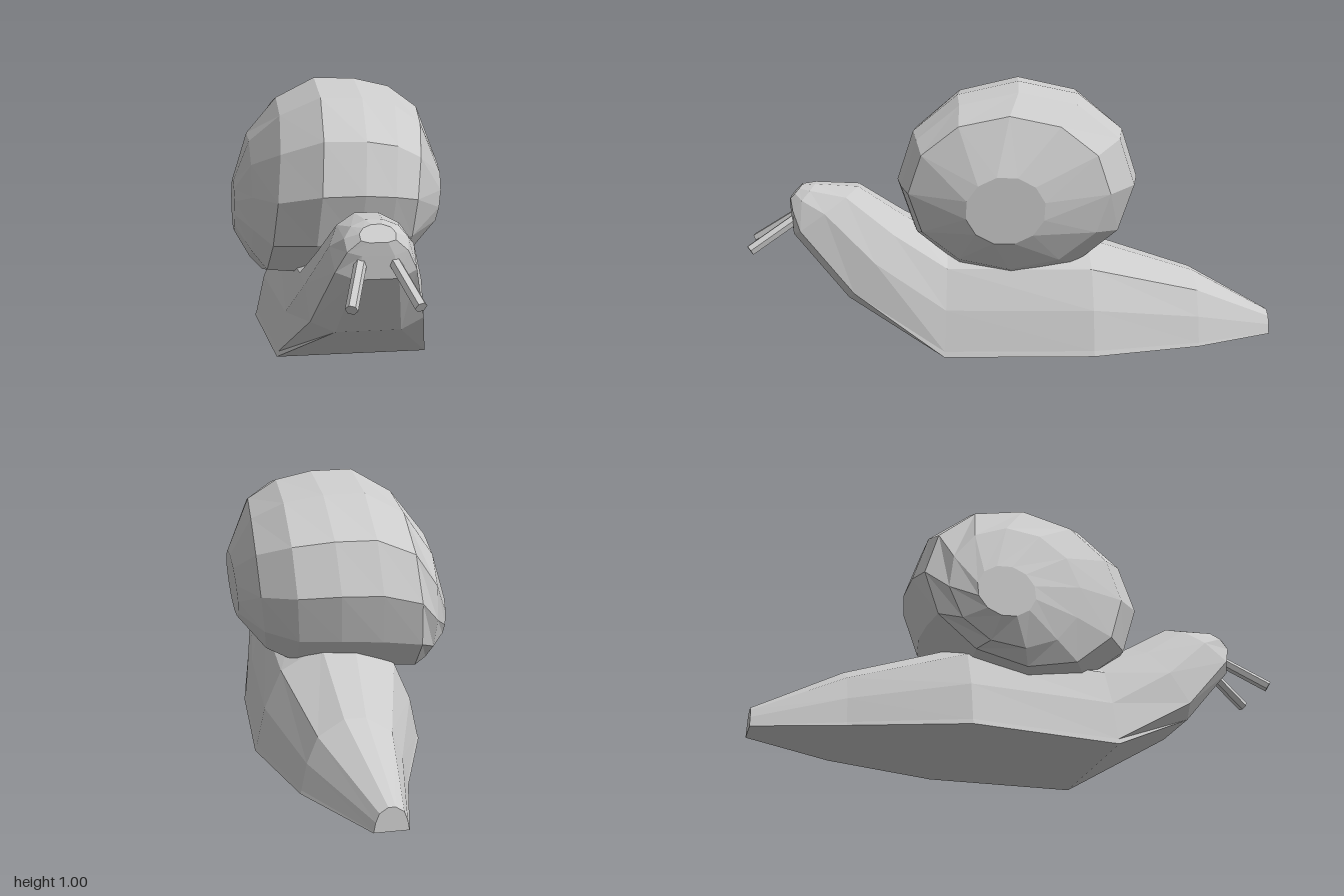
import * as THREE from 'three';

const material = new THREE.MeshStandardMaterial({ color: 0xcccccc, flatShading: true });

// Skin a list of equal-length point loops and close both ends with a fan.
function loft(name, rings) {
  const pos = [];
  const tri = (...pts) => pts.forEach((p) => pos.push(p.x, p.y, p.z));
  const n = rings[0].length;
  for (let i = 0; i < rings.length - 1; i++) {
    for (let j = 0; j < n; j++) {
      const k = (j + 1) % n;
      const a = rings[i][j], b = rings[i][k], c = rings[i + 1][k], d = rings[i + 1][j];
      tri(a, b, c);
      tri(a, c, d);
    }
  }
  const cap = (ring, flip) => {
    const mid = ring.reduce((s, p) => s.add(p), new THREE.Vector3()).divideScalar(n);
    ring.forEach((p, j) => {
      const q = ring[(j + 1) % n];
      flip ? tri(mid, q, p) : tri(mid, p, q);
    });
  };
  cap(rings[0], true);
  cap(rings[rings.length - 1], false);
  const geo = new THREE.BufferGeometry();
  geo.setAttribute('position', new THREE.Float32BufferAttribute(pos, 3));
  geo.computeVertexNormals();
  const mesh = new THREE.Mesh(geo, material);
  mesh.name = name;
  return mesh;
}

// Half cross-sections (across, up) for the flat foot and the rounder head.
const FOOT = [[1, 0], [0.98, 0.05], [0.88, 0.42], [0.68, 0.78], [0.2, 1]];
const HEAD = [[0.5, 0], [0.95, 0.12], [1, 0.5], [0.75, 0.82], [0.28, 1]];

// Body ring between a bottom and a top point, so rings may lean.
function bodyRing([cx, half, zb, yb, zt, yt, round]) {
  const right = FOOT.map(([u, v], i) => [
    THREE.MathUtils.lerp(u, HEAD[i][0], round),
    THREE.MathUtils.lerp(v, HEAD[i][1], round),
  ]);
  const left = right.map(([u, v]) => [-u, v]).reverse();
  return [...right, ...left].map(([u, v]) => new THREE.Vector3(
    cx + u * half,
    THREE.MathUtils.lerp(yb, yt, v),
    THREE.MathUtils.lerp(zb, zt, v),
  ));
}

function makeBody() {
  // centre x, half width, bottom z, bottom y, top z, top y, roundness
  return loft('body', [
    [0.0, 0.06, -1.0, 0.0, -1.0, 0.085, 0],
    [0.05, 0.19, -0.68, 0.01, -0.68, 0.27, 0],
    [0.024, 0.312, -0.27, 0.01, -0.27, 0.4, 0],
    [0.024, 0.277, 0.28, 0.01, 0.26, 0.41, 0],
    [0.028, 0.207, 0.63, 0.205, 0.42, 0.5, 0.9],
    [0.024, 0.142, 0.83, 0.44, 0.59, 0.61, 1],
    [0.024, 0.105, 0.84, 0.52, 0.75, 0.62, 1],
    [0.024, 0.06, 0.845, 0.565, 0.8, 0.615, 1],
  ].map(bodyRing));
}

function makeShell() {
  // x, lean of x along y, lean of x along z, centre y, centre z,
  // radius y, radius z, twist (the coil on each flank)
  const stations = [
    [-0.377, 0.0, 0.0, 0.49, -0.18, 0.1, 0.11, -0.35],
    [-0.322, 0.0, 0.0, 0.54, -0.13, 0.24, 0.25, -0.15],
    [-0.245, 0.03, 0.0, 0.59, -0.07, 0.335, 0.38, 0],
    [-0.1, 0.025, 0.0, 0.63, -0.02, 0.374, 0.445, 0],
    [0.05, 0.025, 0.0, 0.635, -0.01, 0.365, 0.453, 0],
    [0.18, 0.025, -0.02, 0.625, 0.0, 0.345, 0.43, 0],
    [0.278, 0.028, -0.035, 0.61, 0.04, 0.285, 0.365, 0],
    [0.368, 0.012, 0.0, 0.565, 0.06, 0.125, 0.145, -0.3],
  ];
  const sides = 12;
  return loft('shell', stations.map(([x, leanY, leanZ, cy, cz, ry, rz, twist]) =>
    Array.from({ length: sides }, (_, j) => {
      const a = (j / sides) * Math.PI * 2 + twist;
      const c = Math.cos(a), s = Math.sin(a);
      return new THREE.Vector3(x + leanY * c + leanZ * s, cy + ry * c, cz + rz * s);
    })));
}

// Thin six-sided feeler between two points.
function makeFeeler(name, from, to) {
  const dir = to.clone().sub(from);
  const mesh = new THREE.Mesh(new THREE.CylinderGeometry(0.021, 0.021, dir.length(), 6), material);
  mesh.position.copy(from).add(to).multiplyScalar(0.5);
  mesh.quaternion.setFromUnitVectors(new THREE.Vector3(0, 1, 0), dir.normalize());
  mesh.name = name;
  return mesh;
}

export function createModel() {
  const group = new THREE.Group();
  group.name = 'snail';
  group.add(makeBody(), makeShell());
  for (const side of [-1, 1]) {
    group.add(makeFeeler(
      side > 0 ? 'leftFeeler' : 'rightFeeler',
      new THREE.Vector3(0.024 + side * 0.045, 0.515, 0.79),
      new THREE.Vector3(0.024 + side * 0.11, 0.387, 0.988),
    ));
  }
  return group;
}
